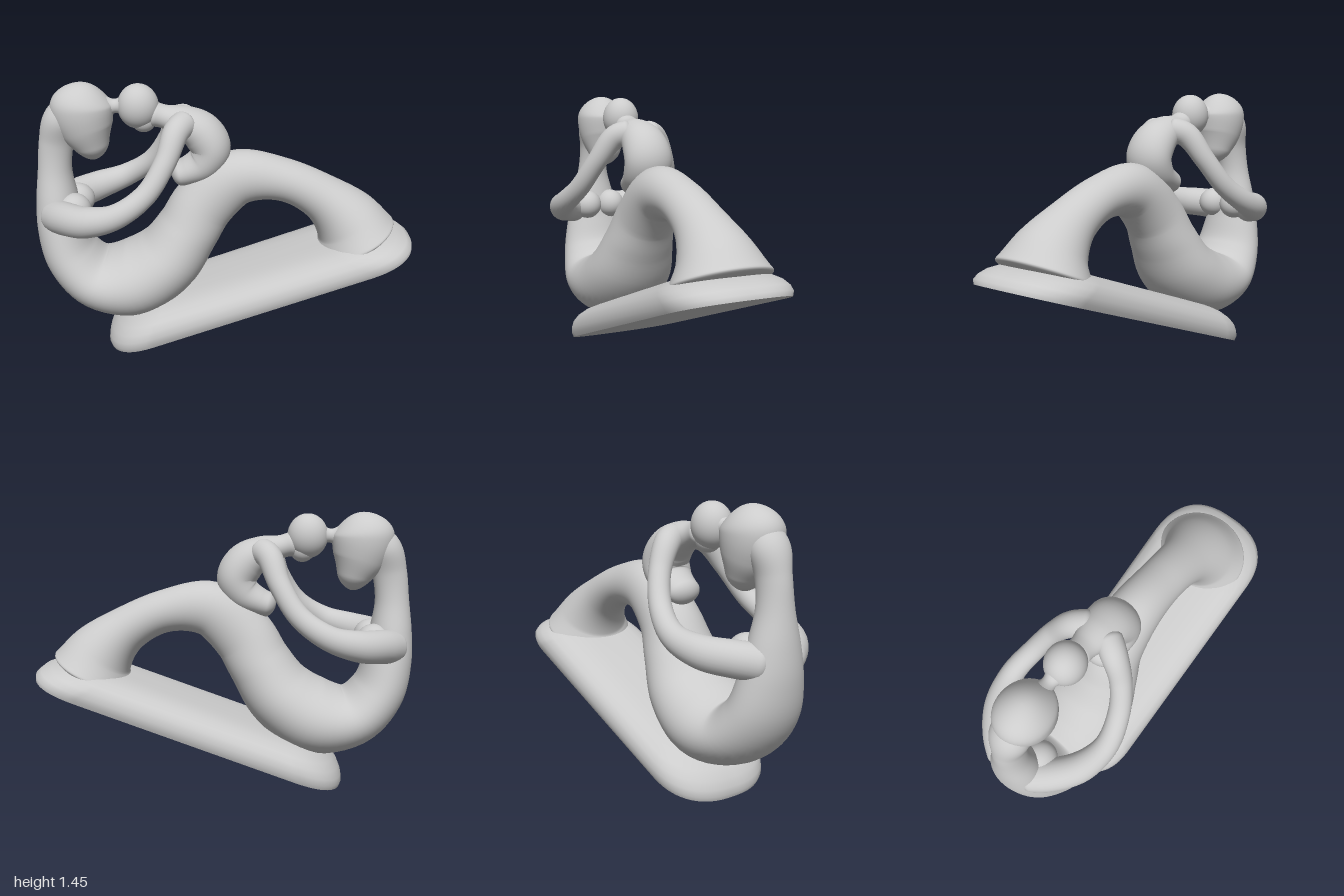
import * as THREE from 'three';

const material = new THREE.MeshStandardMaterial({ color: 0xcccccc, roughness: 0.7 });

// Skins a list of closed rings (arrays of Vector3, equal length) and caps both ends.
function loft(name, rings) {
  const n = rings[0].length, last = (rings.length - 1) * n;
  const points = rings.flat();
  const middle = ring => ring.reduce((s, p) => s.add(p), new THREE.Vector3()).divideScalar(n);
  points.push(middle(rings[0]), middle(rings[rings.length - 1]));
  const index = [];
  for (let j = 0; j < n; j++) {
    const k = (j + 1) % n;
    for (let i = 0; i < last; i += n) {
      index.push(i + j, i + k, i + n + j, i + k, i + n + k, i + n + j);
    }
    index.push(points.length - 2, k, j, points.length - 1, last + j, last + k);
  }
  const geometry = new THREE.BufferGeometry().setFromPoints(points);
  geometry.setIndex(index);
  geometry.computeVertexNormals();
  const mesh = new THREE.Mesh(geometry, material);
  mesh.name = name;
  return mesh;
}

// Sweeps an ellipse along a smooth path. Each station is
// [x, y, z, half thickness, half depth]; the ends are rounded over a share of the path.
function sweep(name, stations, { steps = 60, sides = 40, round = 0.1 } = {}) {
  const path = new THREE.CatmullRomCurve3(stations.map(s => new THREE.Vector3(s[0], s[1], s[2])));
  const size = new THREE.CatmullRomCurve3(
    stations.map(s => new THREE.Vector3(s[3], s[4], 0)), false, 'catmullrom', 0.5);
  const rings = [];
  for (let i = 0; i <= steps; i++) {
    // Cosine spacing puts more rings at the rounded ends
    const t = (1 - Math.cos(Math.PI * i / steps)) / 2;
    const c = path.getPoint(t), r = size.getPoint(t), tangent = path.getTangent(t);
    const end = Math.min(1, Math.min(t, 1 - t) / round);
    const taper = Math.max(0.01, Math.sqrt(1 - (1 - end) ** 2));
    const b = new THREE.Vector3(0, 0, 1).addScaledVector(tangent, -tangent.z).normalize();
    const a = b.clone().cross(tangent);
    rings.push(Array.from({ length: sides }, (_, j) => {
      const q = j / sides * Math.PI * 2;
      return c.clone()
        .addScaledVector(a, r.x * taper * Math.cos(q))
        .addScaledVector(b, r.y * taper * Math.sin(q));
    }));
  }
  return loft(name, rings);
}

function ellipsoid(name, x, y, z, rx, ry, rz) {
  const mesh = new THREE.Mesh(new THREE.SphereGeometry(1, 40, 28), material);
  mesh.position.set(x, y, z);
  mesh.scale.set(rx, ry, rz);
  mesh.name = name;
  return mesh;
}

// Sloping plinth: rounded-end outlines stacked at right angles to its flat underside
function plinth() {
  const slope = Math.atan2(0.575, 1.64), cos = Math.cos(slope), sin = Math.sin(slope);
  const soft = v => Math.sign(v) * Math.abs(v) ** 0.8;
  // [height, start, end, half width]; the doubled first row keeps the lower rim sharp
  const levels = [
    [0, 0, 1.74, 0.305], [0, 0, 1.74, 0.305], [0.025, 0, 1.745, 0.316], [0.055, 0.015, 1.725, 0.318],
    [0.09, 0.045, 1.68, 0.31], [0.12, 0.09, 1.62, 0.285], [0.145, 0.15, 1.55, 0.24],
    [0.16, 0.22, 1.48, 0.18], [0.165, 0.3, 1.4, 0.1],
  ];
  return loft('plinth', levels.map(([h, start, end, w]) =>
    Array.from({ length: 64 }, (_, j) => {
      const q = (j + 0.5) / 64 * Math.PI * 2, R = w * 0.95;
      const u = (start + end) / 2 + Math.sign(Math.cos(q)) * ((end - start) / 2 - R) + R * soft(Math.cos(q));
      return new THREE.Vector3(-0.64 + u * cos - h * sin, 0.005 + u * sin + h * cos, -w * soft(Math.sin(q)));
    })));
}

export function createModel() {
  const model = new THREE.Group();
  model.name = 'seatedParentAndChild';
  model.add(plinth());

  // Neck, back, seat, thighs, knees and shins in one flowing form
  model.add(sweep('parentBody', [
    [-0.77, 1.35, 0, 0.07, 0.08],
    [-0.835, 1.26, 0, 0.09, 0.1],
    [-0.868, 1.14, 0, 0.088, 0.08],
    [-0.885, 1.0, 0, 0.088, 0.09],
    [-0.885, 0.85, 0, 0.108, 0.13],
    [-0.873, 0.68, 0, 0.127, 0.17],
    [-0.825, 0.51, 0, 0.143, 0.21],
    [-0.7, 0.38, 0, 0.16, 0.25],
    [-0.5, 0.37, 0, 0.2, 0.27],
    [-0.32, 0.48, 0, 0.19, 0.25],
    [-0.2, 0.65, 0, 0.17, 0.2],
    [-0.11, 0.8, 0, 0.165, 0.16],
    [0.06, 0.94, 0, 0.15, 0.14],
    [0.3, 0.93, 0, 0.114, 0.125],
    [0.51, 0.83, 0, 0.125, 0.14],
    [0.65, 0.7, 0, 0.18, 0.2],
    [0.72, 0.57, 0, 0.24, 0.285],
  ], { steps: 150, sides: 56, round: 0.02 }));

  // Parent's head, from crown to chin
  model.add(sweep('parentHead', [
    [-0.715, 1.453, 0, 0.13, 0.115],
    [-0.725, 1.33, 0, 0.16, 0.14],
    [-0.71, 1.22, 0, 0.14, 0.13],
    [-0.685, 1.12, 0, 0.09, 0.095],
    [-0.675, 1.05, 0, 0.06, 0.065],
  ], { round: 0.25 }));

  // Arms curving from the parent's back round to the child's shoulders, with the chest between
  for (const [label, s] of [['left', 1], ['right', -1]]) {
    model.add(sweep(label + 'Arm', [
      [-0.91, 0.76, 0.04 * s, 0.09, 0.09],
      [-0.82, 0.785, 0.17 * s, 0.087, 0.085],
      [-0.7, 0.805, 0.265 * s, 0.08, 0.078],
      [-0.55, 0.85, 0.305 * s, 0.064, 0.062],
      [-0.4, 0.95, 0.27 * s, 0.056, 0.056],
      [-0.3, 1.1, 0.205 * s, 0.056, 0.056],
      [-0.245, 1.23, 0.12 * s, 0.066, 0.066],
      [-0.19, 1.26, 0.03 * s, 0.07, 0.07],
    ], { steps: 80, sides: 28, round: 0.06 }));
    model.add(ellipsoid(label + 'Chest', -0.79, 0.8, 0.075 * s, 0.09, 0.085, 0.085));
  }

  // Child: head touching the parent's face, neck, bent body and tucked legs
  model.add(ellipsoid('childHead', -0.44, 1.33, 0, 0.105, 0.115, 0.1));
  model.add(ellipsoid('childChin', -0.415, 1.26, 0, 0.065, 0.065, 0.065));
  model.add(sweep('kiss', [
    [-0.63, 1.325, 0, 0.08, 0.08],
    [-0.555, 1.332, 0, 0.036, 0.036],
    [-0.48, 1.335, 0, 0.08, 0.08],
  ], { sides: 28, round: 0.05 }));
  model.add(sweep('childBody', [
    [-0.39, 1.295, 0, 0.07, 0.07],
    [-0.31, 1.275, 0, 0.06, 0.07],
    [-0.21, 1.245, 0, 0.085, 0.105],
    [-0.12, 1.19, 0, 0.105, 0.125],
    [-0.075, 1.11, 0, 0.105, 0.132],
    [-0.11, 1.03, 0, 0.095, 0.125],
    [-0.19, 0.985, 0, 0.075, 0.105],
    [-0.28, 0.96, 0, 0.06, 0.08],
  ], { steps: 90, round: 0.07 }));

  return model;
}
